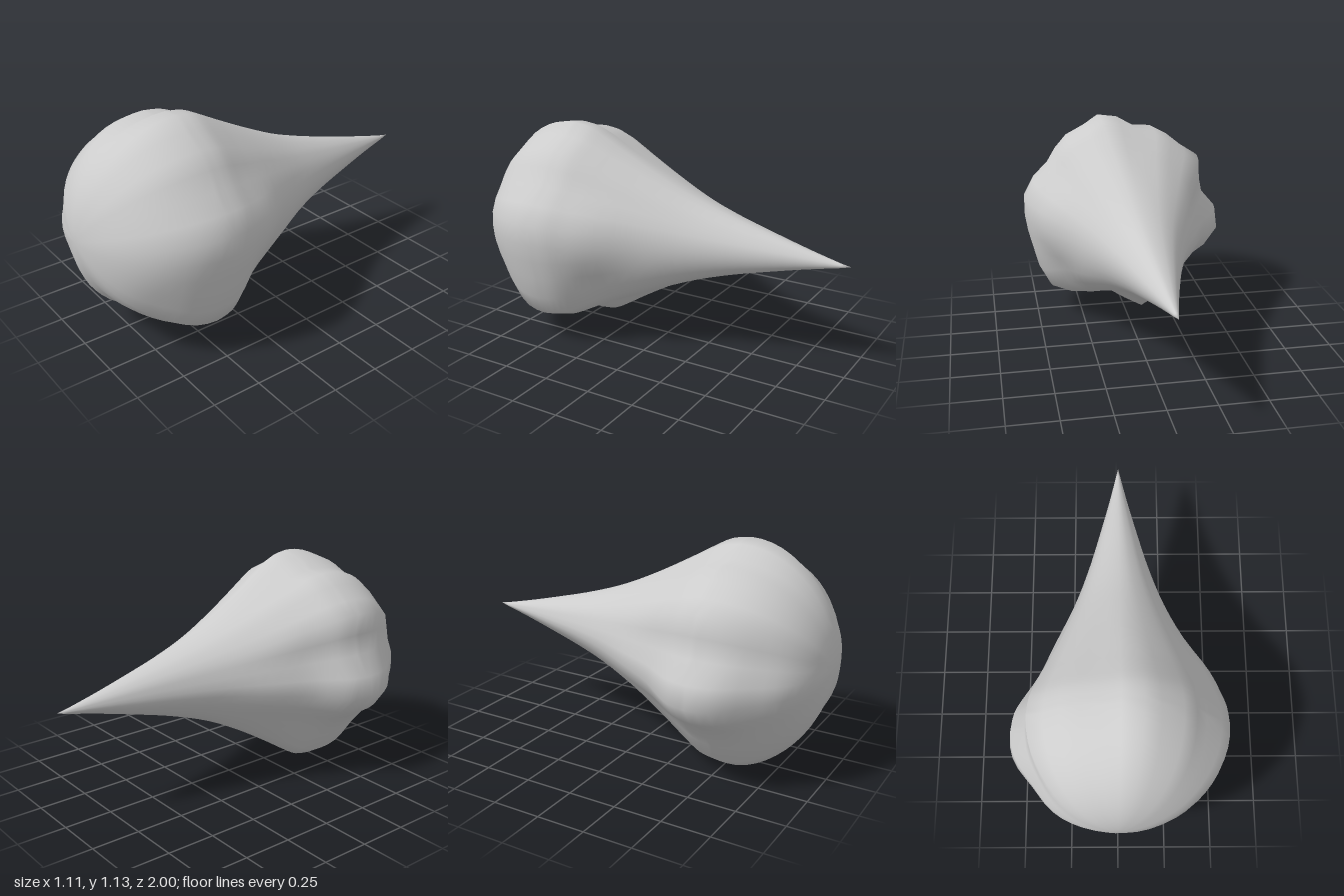
import * as THREE from 'three';

// Widest cross-section, counter-clockwise around the long axis (x, y)
const outline = [
  [0.55, 0.585], [0.55, 0.69], [0.5, 0.785], [0.42, 0.86], [0.37, 0.945], [0.305, 1.02],
  [0.2, 1.075], [0.12, 1.13], [0.015, 1.115], [-0.08, 1.06], [-0.18, 1.055], [-0.27, 1.005],
  [-0.35, 0.94], [-0.435, 0.885], [-0.44, 0.78], [-0.46, 0.68], [-0.54, 0.585], [-0.555, 0.47],
  [-0.485, 0.375], [-0.39, 0.315], [-0.33, 0.24], [-0.265, 0.17], [-0.2, 0.065], [-0.1, 0.003],
  [0, 0.06], [0.105, 0.13], [0.205, 0.12], [0.32, 0.128], [0.425, 0.17], [0.48, 0.275],
  [0.51, 0.39], [0.535, 0.49],
];
const centreY = 0.585;
const n = outline.length;

// Polar form of the outline, and a smoothed copy with the lobes ironed out
const angles = outline.map(([x, y]) => Math.atan2(y - centreY, x));
const lobed = outline.map(([x, y]) => Math.hypot(x, y - centreY));
const smooth = lobed.map((_, j) => {
  let sum = 0;
  for (let d = -3; d <= 3; d++) sum += lobed[(j + d + n) % n] * (4 - Math.abs(d));
  return sum / 16;
});

// Soft bumps (+) and dents (-): angle in degrees, z, angular width, z width, height
const bumps = [
  [188, 0.78, 28, 0.11, -0.04],
  [188, 0.2, 22, 0.13, -0.025],
  [5, 0.2, 25, 0.14, 0.035],
  [-35, 0.2, 16, 0.13, -0.035],
  [-35, 0.8, 20, 0.11, -0.025],
];

function bumpAt(angle, z) {
  let sum = 0;
  for (const [deg, bz, wa, wz, height] of bumps) {
    const d = angle - THREE.MathUtils.degToRad(deg);
    const da = Math.atan2(Math.sin(d), Math.cos(d)) / THREE.MathUtils.degToRad(wa);
    const dz = (z - bz) / wz;
    sum += height * Math.exp(-da * da - dz * dz);
  }
  return sum;
}

// Tail profile from the widest ring to the tip: (scale, z)
const tail = new THREE.SplineCurve([
  [1, 0.5], [0.97, 0.4], [0.88, 0.3], [0.78, 0.2], [0.59, 0], [0.42, -0.2],
  [0.29, -0.4], [0.185, -0.6], [0.087, -0.8], [0, -1],
].map(([s, z]) => new THREE.Vector2(s, z)));

function createRings() {
  const rings = [];
  // Round nose
  for (let i = 1; i <= 14; i++) {
    const a = (i / 14) * Math.PI / 2;
    rings.push([Math.sin(a), 0.5 + 0.5 * Math.cos(a)]);
  }
  // Tapering tail
  for (let i = 1; i < 28; i++) {
    const p = tail.getPoint(i / 28);
    rings.push([p.x, p.y]);
  }
  return rings;
}

function createDropGeometry() {
  const rings = createRings();
  const positions = [0, centreY, 1];
  const index = [];

  // Lobes are strongest at the widest ring and fade along the tail and nose
  for (const [s, z] of rings) {
    const tailFade = 0.15 + 0.85 * THREE.MathUtils.smoothstep(z, -0.2, 0.45);
    const noseFade = 1 - 0.55 * THREE.MathUtils.smoothstep(z, 0.55, 0.95);
    const drift = 0.01 * (1 - z) / 2;
    for (let j = 0; j < n; j++) {
      const radius = THREE.MathUtils.lerp(smooth[j], lobed[j], tailFade * noseFade);
      const r = s * (radius + bumpAt(angles[j], z));
      positions.push(r * Math.cos(angles[j]) + drift, centreY + r * Math.sin(angles[j]), z);
    }
  }
  const tip = positions.length / 3;
  positions.push(0.01, 0.588, -1);

  for (let j = 0; j < n; j++) {
    const k = (j + 1) % n;
    index.push(0, 1 + j, 1 + k);
    for (let r = 0; r < rings.length - 1; r++) {
      const a = 1 + r * n, b = a + n;
      index.push(a + j, b + j, b + k, a + j, b + k, a + k);
    }
    const last = 1 + (rings.length - 1) * n;
    index.push(last + j, tip, last + k);
  }

  const geometry = new THREE.BufferGeometry();
  geometry.setAttribute('position', new THREE.Float32BufferAttribute(positions, 3));
  geometry.setIndex(index);
  geometry.computeVertexNormals();
  return geometry;
}

export function createModel() {
  const group = new THREE.Group();
  group.name = 'lobedDrop';
  const grey = new THREE.MeshStandardMaterial({ color: 0xcccccc });
  grey.name = 'light grey';
  const body = new THREE.Mesh(createDropGeometry(), grey);
  body.name = 'dropBody';
  group.add(body);
  return group;
}
